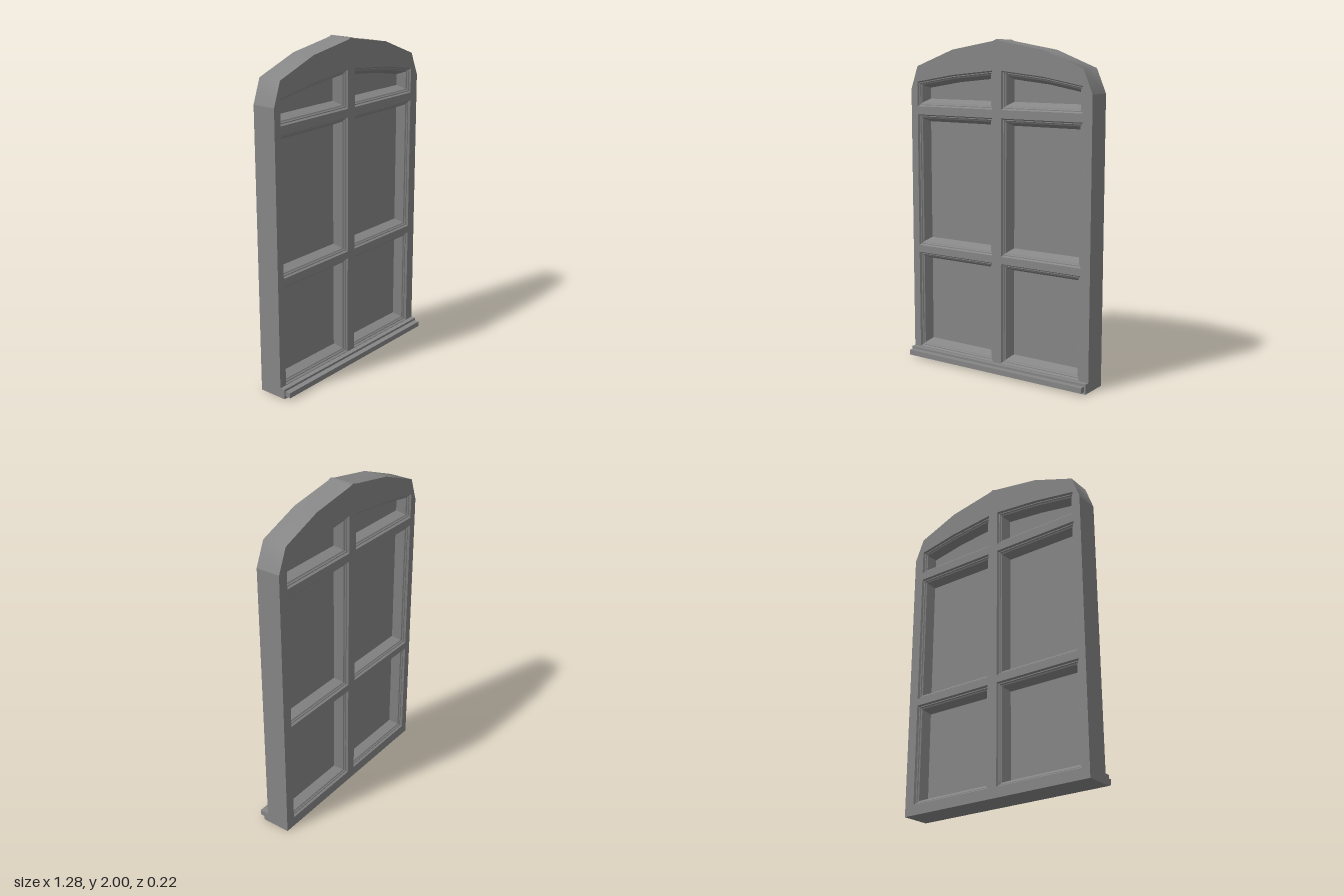
import * as THREE from 'three';
import { toCreasedNormals } from 'three/addons/utils/BufferGeometryUtils.js';

const FRONT = 0.042, BACK = -0.108, MID = -0.033;
const COLOR = 0x868686;
const material = new THREE.MeshStandardMaterial({ color: COLOR });
const paneMaterial = new THREE.MeshStandardMaterial({ color: COLOR, side: THREE.DoubleSide });

const points = (list) => list.map(([x, y]) => new THREE.Vector2(x, y));

// Move every edge of a counter-clockwise polygon inward by d
function inset(loop, d) {
  const n = loop.length;
  return loop.map((p, i) => {
    const e1 = p.clone().sub(loop[(i + n - 1) % n]).normalize();
    const e2 = loop[(i + 1) % n].clone().sub(p).normalize();
    const n1 = new THREE.Vector2(-e1.y, e1.x), n2 = new THREE.Vector2(-e2.y, e2.x);
    return p.clone().addScaledVector(n1.clone().add(n2), d / (1 + n1.dot(n2)));
  });
}

// Skin a series of outlines, each { loop, z }, closed or open
function loft(rings, crease, closed = true) {
  const pos = [];
  for (let r = 0; r < rings.length - 1; r++) {
    const a = rings[r], b = rings[r + 1], n = a.loop.length;
    for (let i = 0; i < (closed ? n : n - 1); i++) {
      const j = (i + 1) % n;
      const corner = (ring, k) => [ring.loop[k].x, ring.loop[k].y, ring.z];
      const [p, q, s, t] = [corner(a, i), corner(a, j), corner(b, j), corner(b, i)];
      pos.push(...p, ...q, ...s, ...p, ...s, ...t);
    }
  }
  const g = new THREE.BufferGeometry();
  g.setAttribute('position', new THREE.Float32BufferAttribute(pos, 3));
  return toCreasedNormals(g, crease);
}

export function createModel() {
  const model = new THREE.Group();
  model.name = 'archedWindow';
  const add = (name, geometry, mat = material) => {
    const mesh = new THREE.Mesh(geometry, mat);
    mesh.name = name;
    model.add(mesh);
    return mesh;
  };

  // Straight sides and base, then the arch from right to left
  const arch = points([
    [0.64, 1.7], [0.58, 1.84], [0.32, 1.94], [0.025, 1.99], [0, 2],
    [-0.025, 1.99], [-0.32, 1.94], [-0.59, 1.84], [-0.64, 1.7],
  ]);
  const sides = points([[-0.64, 1.7], [-0.64, 0], [0.64, 0], [0.64, 1.7]]);
  const outline = [...sides.slice(1, 3), ...arch];

  // Six openings: two rectangular rows and an arched top row
  const openings = [];
  for (const [x0, x1] of [[-0.593, -0.032], [0.032, 0.577]]) {
    for (const [y0, y1] of [[0.063, 0.678], [0.723, 1.545]]) {
      openings.push(points([[x0, y0], [x1, y0], [x1, y1], [x0, y1]]));
    }
    const archHeight = (x) => (Math.abs(x) < 0.1 ? 1.82 : 1.745);
    openings.push(points([
      [x0, 1.595], [x1, 1.595], [x1, archHeight(x1)],
      [Math.sign(x0) * 0.325, 1.79], [x0, archHeight(x0)],
    ]));
  }

  // Frame faces and outer edge
  const face = new THREE.Shape(outline);
  face.holes = openings.map((o) => new THREE.Path(o));
  const frontFace = new THREE.ShapeGeometry(face);
  const backFace = frontFace.clone();
  backFace.setIndex([...frontFace.index.array].reverse());
  backFace.computeVertexNormals();
  add('frameFront', frontFace.translate(0, 0, FRONT));
  add('frameBack', backFace.translate(0, 0, BACK));
  const edge = (loop, crease) => loft([{ loop, z: BACK }, { loop, z: FRONT }], crease, false);
  add('frameSides', edge(sides, 0.1));
  add('frameArch', edge(arch, 1));

  // Moulding section: inset and depth from the face to the pane
  const section = [
    [0, 0], [0.007, 0.012], [0.012, 0.012], [0.016, 0.018], [0.023, 0.022], [0.045, FRONT - MID],
  ];
  openings.forEach((loop, i) => {
    const front = section.map(([d, depth]) => ({ loop: inset(loop, d), z: FRONT - depth }));
    const back = section.map(([d, depth]) => ({ loop: inset(loop, d), z: BACK + depth })).reverse();
    add(`frontMoulding${i + 1}`, loft(front, 0.3));
    add(`backMoulding${i + 1}`, loft(back, 0.3));
    const pane = new THREE.ShapeGeometry(new THREE.Shape(inset(loop, 0.045)));
    add(`pane${i + 1}`, pane.translate(0, 0, MID), paneMaterial);
  });

  // Stepped sill on the front
  add('sill', new THREE.BoxGeometry(1.28, 0.06, 0.031)).position.set(0, 0.03, 0.0575);
  add('sillLip', new THREE.BoxGeometry(1.26, 0.032, 0.035)).position.set(0, 0.03, 0.0905);

  return model;
}
